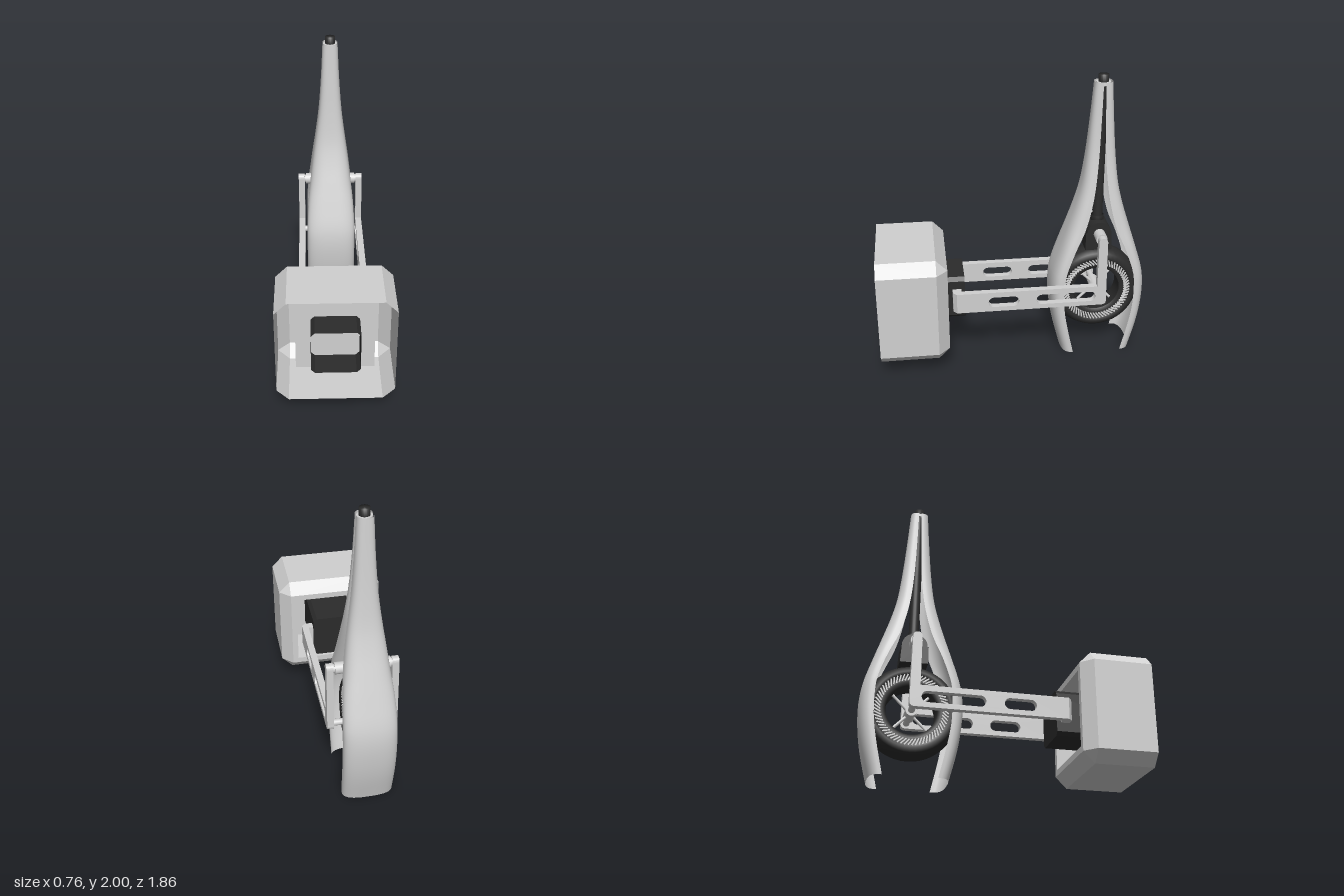
import * as THREE from 'three';

const paint = (name, color, side = THREE.FrontSide) => {
  const m = new THREE.MeshStandardMaterial({ color, side });
  m.name = name;
  return m;
};

// Skin a list of cross-sections, each an array of [x, y, z]
function loft(rings, { closed = true, flat = true, cap = false } = {}) {
  const n = rings[0].length, index = [];
  const pos = rings.flat(2);
  for (let r = 0; r < rings.length - 1; r++) {
    for (let i = 0; i < (closed ? n : n - 1); i++) {
      const a = r * n + i, b = r * n + (i + 1) % n;
      index.push(a, a + n, b, b, a + n, b + n);
    }
  }
  const last = (rings.length - 1) * n;
  if (cap) for (let i = 1; i < n - 1; i++) index.push(last, last + i + 1, last + i);
  let g = new THREE.BufferGeometry();
  g.setAttribute('position', new THREE.Float32BufferAttribute(pos, 3));
  g.setIndex(index);
  if (flat) g = g.toNonIndexed();
  g.computeVertexNormals();
  return g;
}

// Chamfered square section, half-size h, corner cut c
function octagon(h, c, z, cy) {
  const k = h - c;
  return [[h, -k], [h, k], [k, h], [-k, h], [-h, k], [-h, -k], [-k, -h], [k, -h]]
    .map(([x, y]) => [x, y + cy, z]);
}

export function createModel() {
  const model = new THREE.Group();
  const light = paint('lightGrey', 0xd0d0d0);
  const lightSkin = paint('lightGreyShell', 0xd0d0d0, THREE.DoubleSide);
  const dark = paint('charcoal', 0x2b2b2b);
  const darkSkin = paint('charcoalShell', 0x2b2b2b, THREE.DoubleSide);
  const add = (name, geo, mat, x = 0, y = 0, z = 0, parent = model) => {
    const m = new THREE.Mesh(geo, mat);
    m.name = name;
    m.position.set(x, y, z);
    parent.add(m);
    return m;
  };
  const axleZ = -0.6, axleY = 0.46;

  // Open-fronted chamfered housing, with a deep recess in its back
  const cy = 0.497;
  add('housing', loft([
    octagon(0.378, 0.077, 0.925, cy), octagon(0.378, 0.077, 0.53, cy),
    octagon(0.301, 0, 0.455, cy), octagon(0.26, 0, 0.455, cy), octagon(0.255, 0, 0.76, cy),
  ], { cap: true }), lightSkin);

  // Dark square tube running through the housing
  add('tube', loft([octagon(0.156, 0.025, 0.93, cy), octagon(0.156, 0.025, 0.335, cy)], { cap: true }), darkSkin);

  // L-shaped side arms with slots
  const arm = new THREE.Shape();
  arm.moveTo(0.37, 0.425).lineTo(-0.6, 0.425);
  arm.quadraticCurveTo(-0.64, 0.425, -0.635, 0.465);
  arm.lineTo(-0.63, 0.9).quadraticCurveTo(-0.63, 0.935, -0.6, 0.935);
  arm.quadraticCurveTo(-0.57, 0.935, -0.57, 0.9);
  arm.lineTo(-0.57, 0.57).lineTo(0.37, 0.57).closePath();
  for (const [z0, z1] of [[-0.03, 0.18], [-0.56, -0.15]]) {
    const slot = new THREE.Path();
    slot.absarc(z1 - 0.037, 0.495, 0.037, -Math.PI / 2, Math.PI / 2, false);
    slot.absarc(z0 + 0.037, 0.495, 0.037, Math.PI / 2, Math.PI * 1.5, false);
    slot.closePath();
    arm.holes.push(slot);
  }
  const armGeo = new THREE.ExtrudeGeometry(arm, { depth: 0.045, bevelEnabled: false });
  armGeo.rotateY(-Math.PI / 2).translate(0.0225, 0, 0);
  const axleRod = new THREE.CylinderGeometry(0.022, 0.022, 0.2, 16).rotateZ(Math.PI / 2);
  for (const s of [-1, 1]) {
    add('sideArm', armGeo, light, s * 0.2125);
    // bent tab joining the arm to the tube
    const tab = new THREE.Shape([[0.15, -0.36], [0.15, -0.42], [0.205, -0.42], [0.235, -0.395], [0.235, -0.36]]
      .map(([x, z]) => new THREE.Vector2(s * x, z)));
    const tabGeo = new THREE.ExtrudeGeometry(tab, { depth: 0.145, bevelEnabled: false });
    add('armTab', tabGeo.rotateX(-Math.PI / 2), light, 0, 0.425, 0);
    add('axleRod', axleRod, light, s * 0.12, axleY, axleZ);
  }

  // Cross rod at the top of the arms
  const rod = (r, len) => new THREE.CylinderGeometry(r, r, len, 24).rotateZ(Math.PI / 2);
  add('crossRod', rod(0.039, 0.36), light, 0, 0.9, axleZ);
  add('crossRodEnds', rod(0.028, 0.46), light, 0, 0.9, axleZ);

  // Arched mount around the rod
  const mount = new THREE.Shape();
  mount.moveTo(-0.092, 0.78).lineTo(0.092, 0.78).lineTo(0.092, 0.9);
  mount.absarc(0, 0.9, 0.085, 0, Math.PI, false);
  mount.lineTo(-0.092, 0.78);
  const mountGeo = new THREE.ExtrudeGeometry(mount, { depth: 0.18, bevelEnabled: false });
  add('mount', mountGeo.rotateY(-Math.PI / 2), dark, 0.09, 0, axleZ);

  // Central post with collar and tip
  const post = [[0, 0.94], [0.045, 0.94], [0.045, 1.01], [0.034, 1.01], [0.034, 1.5], [0.03, 1.95], [0.034, 1.95], [0.034, 2], [0, 2]];
  add('post', new THREE.LatheGeometry(post.map(p => new THREE.Vector2(...p)), 20), dark, 0, 0, axleZ);

  // Wheel: hollow tyre, fin rings, spokes and hub
  const wheel = new THREE.Group();
  wheel.name = 'wheel';
  wheel.position.set(0, axleY, axleZ);
  model.add(wheel);
  const tyre = [[0.165, -0.07], [0.19, -0.085], [0.2, -0.075], [0.24, -0.085], [0.255, -0.1], [0.285, -0.085], [0.305, -0.045],
    [0.31, 0], [0.305, 0.045], [0.285, 0.085], [0.255, 0.1], [0.24, 0.085], [0.2, 0.075], [0.19, 0.085], [0.165, 0.07], [0.165, -0.07]];
  add('tyre', new THREE.LatheGeometry(tyre.map(p => new THREE.Vector2(...p)), 48).rotateZ(Math.PI / 2), darkSkin, 0, 0, 0, wheel);
  const fin = new THREE.BoxGeometry(0.18, 0.05, 0.009).rotateX(0.6).translate(0, 0.218, 0);
  for (let i = 0; i < 64; i++) add('fin', fin, light, 0, 0, 0, wheel).rotation.x = i / 64 * Math.PI * 2;
  const spoke = new THREE.CylinderGeometry(0.01, 0.01, 0.34, 10);
  for (const a of [1, -1]) add('spoke', spoke, light, 0, 0, 0, wheel).rotation.x = a * Math.PI / 4;
  add('hub', rod(0.038, 0.14), light, 0, 0, 0, wheel);

  // Two curved fairings: [y, half width, inner offset, outer offset]
  const stations = [
    [0, 0.17, 0.17, 0.25], [0.2, 0.174, 0.215, 0.3], [0.35, 0.175, 0.24, 0.323], [0.5, 0.175, 0.245, 0.33],
    [0.62, 0.174, 0.235, 0.316], [0.8, 0.164, 0.175, 0.262], [0.95, 0.147, 0.11, 0.213], [1.1, 0.129, 0.068, 0.165],
    [1.25, 0.108, 0.042, 0.127], [1.45, 0.083, 0.024, 0.1], [1.7, 0.064, 0.014, 0.078], [1.955, 0.052, 0.008, 0.06],
  ];
  const curve = new THREE.CatmullRomCurve3(stations.map(([y, w, , o]) => new THREE.Vector3(w, y, o)));
  const inner = new THREE.CatmullRomCurve3(stations.map(([y, , i]) => new THREE.Vector3(0, y, i)));
  for (const s of [1, -1]) {
    const rings = [];
    for (let k = 0; k <= 44; k++) {
      const p = curve.getPoint(k / 44), q = inner.getPoint(k / 44), ring = [];
      for (let j = 0; j <= 24; j++) {
        const t = (j / 24 - 0.5) * Math.PI;
        const sx = Math.sign(t) * Math.abs(Math.sin(t)) ** 0.7;
        const sz = Math.max(0, Math.cos(t)) ** 0.7;
        ring.push([s * p.x * sx, p.y, axleZ + s * (q.z + (p.z - q.z) * sz)]);
      }
      rings.push(ring.reverse());
    }
    add(s > 0 ? 'frontFairing' : 'backFairing', loft(rings, { closed: false, flat: false }), lightSkin);
  }
  // Collar closing the fairings under the tip
  add('fairingCollar', new THREE.CylinderGeometry(0.048, 0.05, 0.02, 24), light, 0, 1.942, axleZ);
  return model;
}
